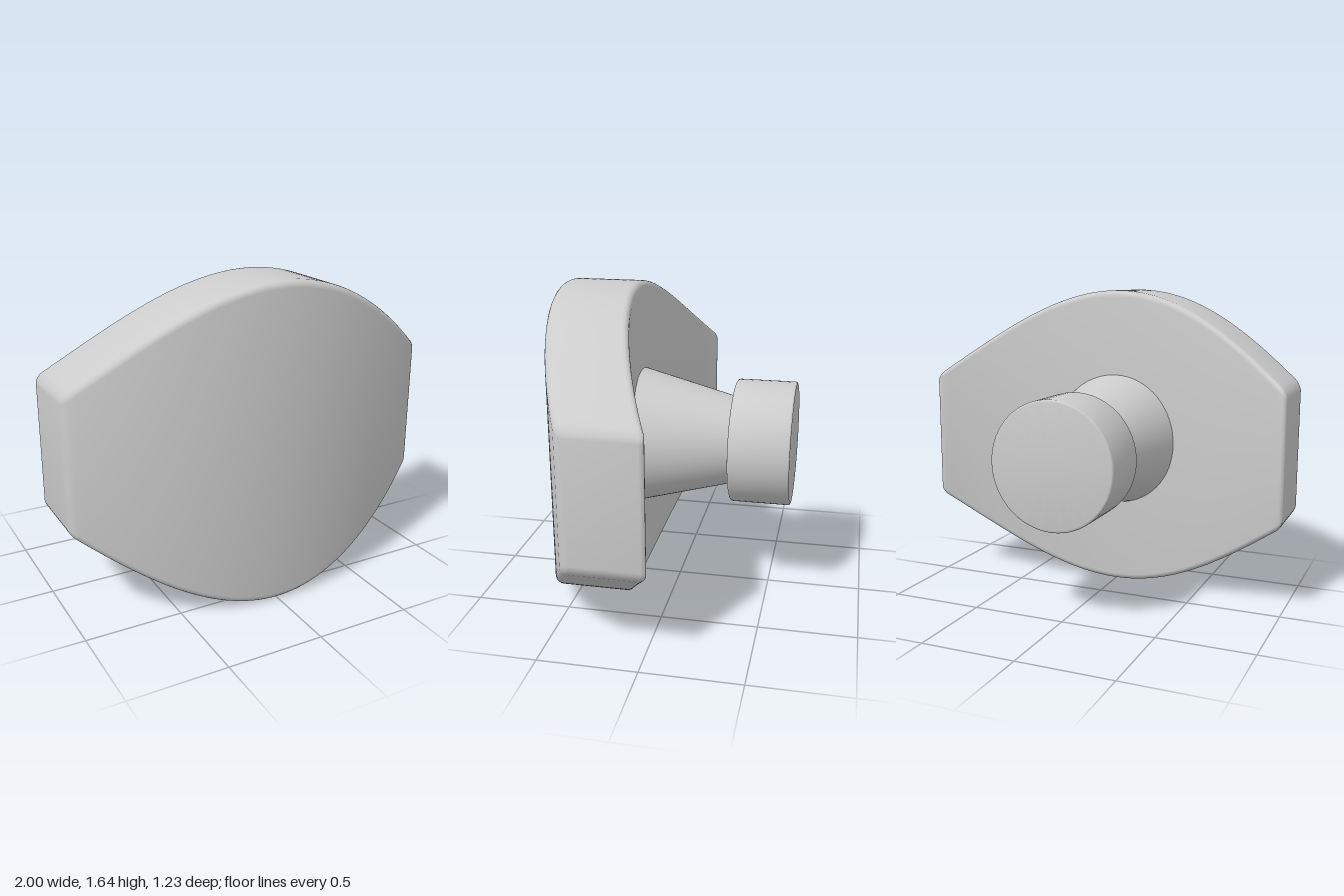
import * as THREE from 'three';
import { toCreasedNormals } from 'three/addons/utils/BufferGeometryUtils.js';

const CY = 0.822; // height of the central axis
const R = 0.035; // edge rounding of the face plate

// Outline half height and bow of the plate along its width
const halfHeight = x => 0.822 - 0.517 * (1 - Math.cos(1.5 * x));
const bow = x => 2.05 - Math.sqrt(2.05 * 2.05 - x * x);

// Rounded rectangle cross-section in the y-z plane, shrunk towards the ends
function section(x, radius) {
  const h = halfHeight(x) - R;
  const front = 0.613 - bow(x) - R, back = 0.205 - bow(x) + R;
  const corners = [[front, h], [back, h], [back, -h], [front, -h]];
  const points = [];
  corners.forEach(([z, y], c) => {
    for (let i = 0; i <= 5; i++) {
      const a = (c + i / 5) * Math.PI / 2;
      points.push([x, CY + y + radius * Math.cos(a), z + radius * Math.cos(a + Math.PI / 2) * -1]);
    }
  });
  // the angle runs front -> top -> back, so mirror z about the corner centres
  return points.map((p, i) => {
    const c = Math.floor(i / 6), a = (c + (i % 6) / 5) * Math.PI / 2;
    return [p[0], CY + corners[c][1] + radius * Math.sin(a), corners[c][0] + radius * Math.cos(a)];
  });
}

function plateGeometry() {
  // Stations along x: rounded end, even spacing, rounded end
  const stations = [];
  for (let i = 0; i <= 5; i++) {
    const a = i / 5 * Math.PI / 2;
    stations.push([-1 + R - R * Math.cos(a), R * Math.sin(a)]);
  }
  for (let i = 1; i < 64; i++) stations.push([(1 - R) * (i / 32 - 1), R]);
  for (let i = 5; i >= 0; i--) {
    const a = i / 5 * Math.PI / 2;
    stations.push([1 - R + R * Math.cos(a), R * Math.sin(a)]);
  }
  const n = 24, position = [], index = [];
  stations.forEach(([x, r]) => section(x, r).forEach(p => position.push(...p)));
  for (let s = 0; s < stations.length - 1; s++) {
    for (let i = 0; i < n; i++) {
      const a = s * n + i, b = s * n + (i + 1) % n;
      index.push(a, a + n, b, b, a + n, b + n);
    }
  }
  // Flat ends
  const last = (stations.length - 1) * n;
  for (let i = 1; i < n - 1; i++) {
    index.push(0, i, i + 1, last, last + i + 1, last + i);
  }
  // Face the winding outwards
  for (let i = 0; i < index.length; i += 3) {
    [index[i + 1], index[i + 2]] = [index[i + 2], index[i + 1]];
  }
  const geometry = new THREE.BufferGeometry();
  geometry.setAttribute('position', new THREE.Float32BufferAttribute(position, 3));
  geometry.setIndex(orient(position, index));
  return toCreasedNormals(geometry, 0.6);
}

// Flip everything if the enclosed volume comes out negative
function orient(p, index) {
  const v = k => new THREE.Vector3(p[3 * k], p[3 * k + 1], p[3 * k + 2]);
  let volume = 0;
  for (let i = 0; i < index.length; i += 3) {
    volume += v(index[i]).dot(v(index[i + 1]).cross(v(index[i + 2])));
  }
  return volume < 0 ? index.reverse() : index;
}

// Turned part along z from [radius, z] points
function turned(profile) {
  const points = profile.map(([r, z]) => new THREE.Vector2(r, z));
  const geometry = new THREE.LatheGeometry(points, 64);
  geometry.rotateX(Math.PI / 2);
  return toCreasedNormals(geometry, 0.4);
}

export function createModel() {
  const group = new THREE.Group();
  const material = new THREE.MeshStandardMaterial({ color: 0xcccccc });
  const add = (name, geometry, y) => {
    const mesh = new THREE.Mesh(geometry, material);
    mesh.name = name;
    mesh.position.y = y;
    group.add(mesh);
  };

  // Curved face plate
  add('facePlate', plateGeometry(), 0);

  // Tapered neck, sunk into the plate
  add('neck', turned([[0.225, -0.32], [0.37, 0.24]]), CY);

  // Round base with softened rims
  const base = [[0, -0.613]];
  const b = 0.012;
  for (const [z, start] of [[-0.613 + b, -Math.PI / 2], [-0.3 - b, 0]]) {
    for (let i = 0; i <= 4; i++) {
      const a = start + i / 4 * Math.PI / 2;
      base.push([0.326 - b + b * Math.cos(a), z + b * Math.sin(a)]);
    }
  }
  base.push([0, -0.3]);
  add('base', turned(base), CY);

  return group;
}
